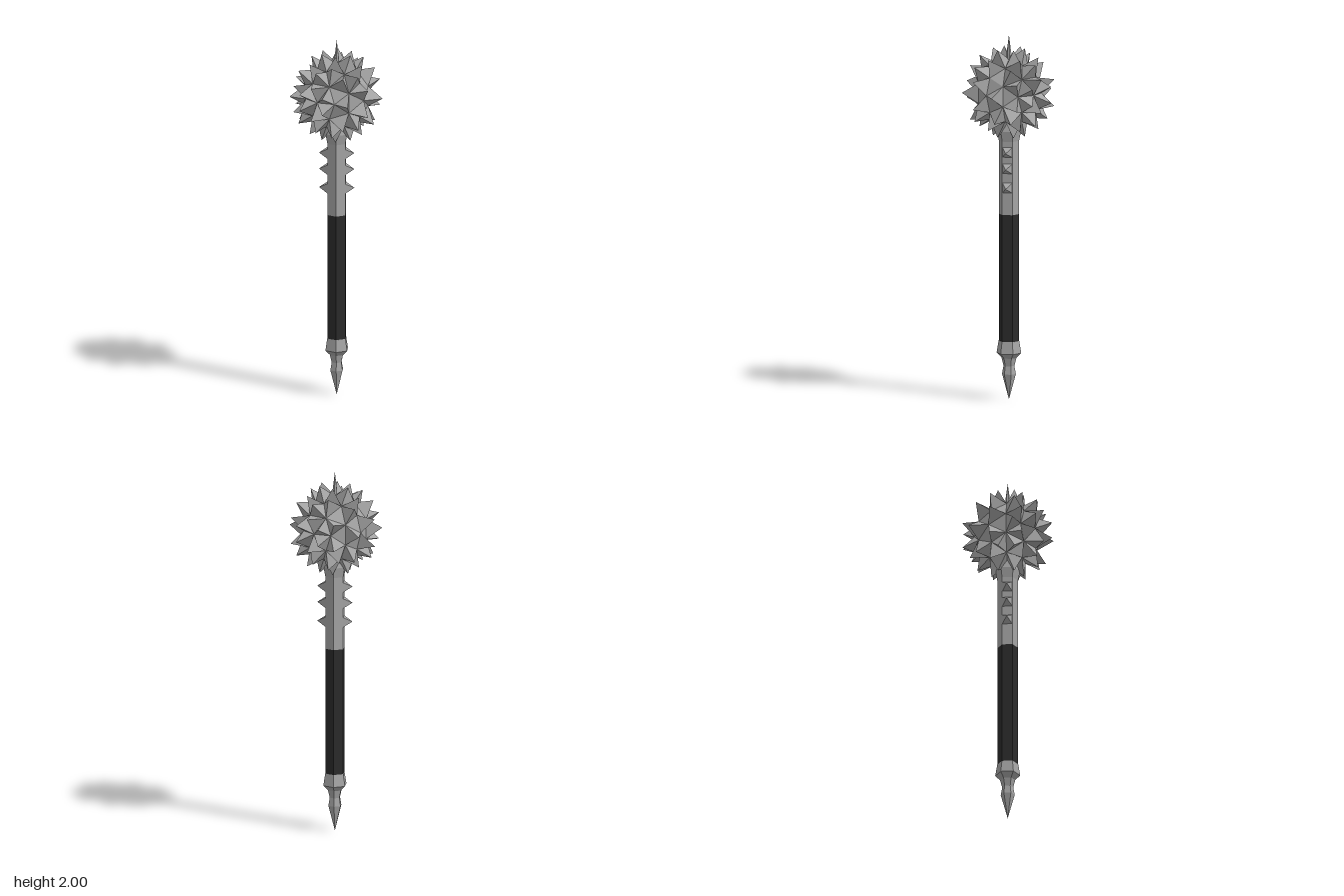
import * as THREE from 'three';

export function createModel() {
  const model = new THREE.Group();
  const steel = new THREE.MeshStandardMaterial({ color: 0xa4a4a4, flatShading: true });
  steel.name = 'steel';
  const leather = new THREE.MeshStandardMaterial({ color: 0x2b2b2b, flatShading: true });
  leather.name = 'black leather';

  const add = (name, geometry, material) => {
    const mesh = new THREE.Mesh(geometry, material);
    mesh.name = name;
    model.add(mesh);
    return mesh;
  };

  // Six-sided turned parts, given as [radius, height] points from the bottom up
  const turned = (name, points, material) =>
    add(name, new THREE.LatheGeometry(points.map(p => new THREE.Vector2(...p)), 6), material);

  turned('pommelSpike', [[0, 0], [0.038, 0.14], [0.03, 0.185], [0.041, 0.228]], steel);
  turned('pommel', [[0, 0.228], [0.041, 0.228], [0.068, 0.255], [0.057, 0.322], [0, 0.322]], steel);
  turned('grip', [[0.056, 0.322], [0.056, 1.018]], leather);
  turned('shaft', [[0.056, 1.018], [0.056, 1.42], [0.067, 1.475], [0.05, 1.54]], steel);
  turned('topSpike', [[0.014, 1.84], [0.013, 1.9], [0, 2]], steel);

  // Three pyramid studs on each side of the shaft
  for (const side of [1, -1]) {
    for (const y of [1.362, 1.272, 1.167]) {
      const stud = new THREE.ConeGeometry(0.04, 0.05, 4, 1);
      stud.rotateY(Math.PI / 4);
      stud.rotateZ(-side * Math.PI / 2);
      add('sideStud', stud, steel).position.set(side * 0.071, y, 0);
    }
  }

  // Spiked ball: each face of a divided icosahedron, five-fold about z, is raised to a point
  const centre = 1.686, reach = 0.257;
  const core = new THREE.IcosahedronGeometry(0.18, 1);
  core.rotateX(Math.atan(2 / (1 + Math.sqrt(5))));
  core.rotateZ(-Math.PI / 10);
  // Faces left flat, as [angle about z, angle above the xy plane] in degrees
  const flatFaces = [
    [72, 72], [-72, 72], [0, 53], [18, 20], [-18, 20], [36, 9],
    [0, -9], [144, -9], [180, -11], [157, -40], [-157, -40], [108, -53], [180, -72],
  ].map(([a, b]) => {
    const az = THREE.MathUtils.degToRad(a), lat = THREE.MathUtils.degToRad(b);
    return new THREE.Vector3(
      Math.cos(lat) * Math.cos(az), Math.cos(lat) * Math.sin(az), Math.sin(lat));
  });
  const source = core.getAttribute('position');
  const out = [];
  for (let i = 0; i < source.count; i += 3) {
    const corners = [0, 1, 2].map(k => new THREE.Vector3().fromBufferAttribute(source, i + k));
    const tip = new THREE.Vector3();
    corners.forEach(c => tip.add(c));
    tip.normalize();
    if (flatFaces.some(f => f.angleTo(tip) < 0.08)) {
      corners.forEach(c => out.push(c.x, c.y, c.z));
      continue;
    }
    tip.multiplyScalar(reach);
    for (let k = 0; k < 3; k++) {
      for (const p of [corners[k], corners[(k + 1) % 3], tip]) out.push(p.x, p.y, p.z);
    }
  }
  const ball = new THREE.BufferGeometry();
  ball.setAttribute('position', new THREE.Float32BufferAttribute(out, 3));
  ball.computeVertexNormals();
  add('spikedBall', ball, steel).position.y = centre;

  return model;
}
